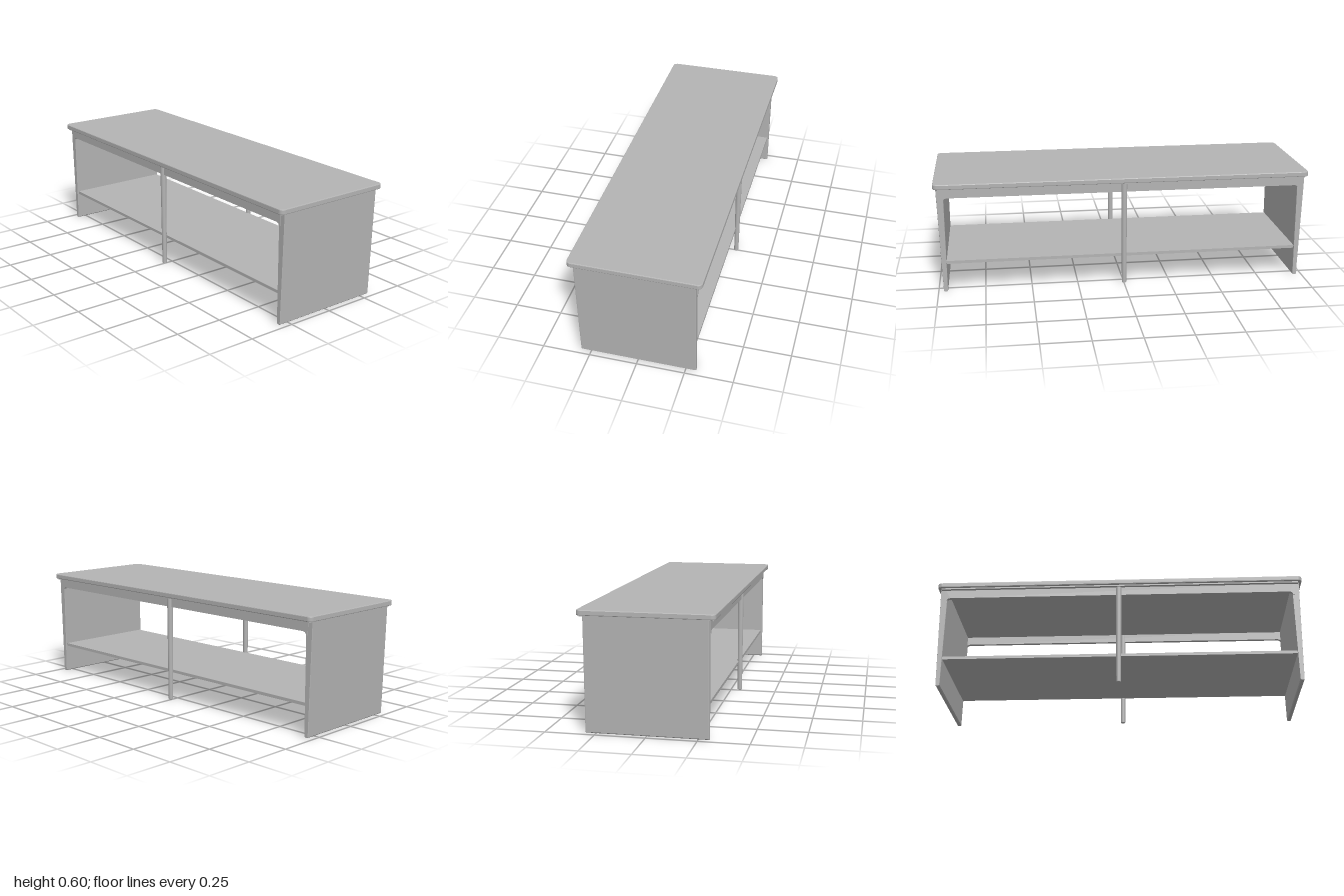
import * as THREE from 'three';

// Rectangle outline with rounded corners, centred on the origin
function roundedRect(w, d, r) {
  const s = new THREE.Shape(), x = w / 2, y = d / 2;
  s.moveTo(-x + r, -y);
  s.lineTo(x - r, -y);
  s.absarc(x - r, -y + r, r, -Math.PI / 2, 0);
  s.absarc(x - r, y - r, r, 0, Math.PI / 2);
  s.absarc(-x + r, y - r, r, Math.PI / 2, Math.PI);
  s.absarc(-x + r, -y + r, r, Math.PI, Math.PI * 1.5);
  return s;
}

export function createModel() {
  const group = new THREE.Group();
  const grey = new THREE.MeshStandardMaterial({ color: 0xb4b4b4 });
  grey.name = 'plain grey';

  const add = (name, geometry, x = 0, y = 0, z = 0) => {
    const mesh = new THREE.Mesh(geometry, grey);
    mesh.name = name;
    mesh.position.set(x, y, z);
    group.add(mesh);
    return mesh;
  };

  // Table top with a softened rim
  const slab = (w, d, r, h, bevel) => {
    const g = new THREE.ExtrudeGeometry(roundedRect(w - 2 * bevel, d - 2 * bevel, r), {
      depth: h - 2 * bevel, bevelThickness: bevel, bevelSize: bevel, bevelSegments: 2, curveSegments: 6,
    });
    g.rotateX(-Math.PI / 2);
    g.translate(0, bevel, 0);
    return g;
  };
  add('tableTop', slab(2, 0.67, 0.02, 0.027, 0.004), 0, 0.575, 0);
  add('topUnderlay', new THREE.BoxGeometry(1.96, 0.008, 0.646), 0, 0.572, 0);

  // Lower shelf between the side panels
  add('shelf', new THREE.BoxGeometry(1.91, 0.016, 0.59), 0, 0.163, 0);

  // Side panels, leaning slightly outward towards the top
  for (const side of [1, -1]) {
    const profile = new THREE.Shape([
      [0.951, 0.004], [0.955, 0], [0.967, 0], [0.971, 0.004], [0.985, 0.575], [0.948, 0.575],
    ].map(([x, y]) => new THREE.Vector2(x * side, y)));
    const panel = new THREE.ExtrudeGeometry(profile, {
      depth: 0.6, bevelThickness: 0.003, bevelSize: 0.001, bevelSegments: 1,
    });
    add(side > 0 ? 'leftPanel' : 'rightPanel', panel, 0, 0, -0.3);
  }

  // Front and back aprons with rounded inner corners, and the middle legs
  const apron = new THREE.Shape();
  apron.moveTo(-0.96, 0.575);
  apron.lineTo(-0.96, 0.505);
  apron.lineTo(-0.95, 0.505);
  apron.quadraticCurveTo(-0.948, 0.52, -0.93, 0.521);
  apron.lineTo(0.93, 0.521);
  apron.quadraticCurveTo(0.948, 0.52, 0.95, 0.505);
  apron.lineTo(0.96, 0.505);
  apron.lineTo(0.96, 0.575);
  for (const side of [1, -1]) {
    const end = side > 0 ? 'front' : 'back';
    const g = new THREE.ExtrudeGeometry(apron, { depth: 0.018, bevelEnabled: false, curveSegments: 6 });
    add(end + 'Apron', g, 0, 0, side * 0.297 - 0.009);

    const leg = new THREE.LatheGeometry([
      [0, 0.003], [0.01, 0.003], [0.0125, 0.006], [0.0155, 0.5], [0.0165, 0.575],
    ].map(([r, y]) => new THREE.Vector2(r, y)), 20);
    add(end + 'MiddleLeg', leg, 0, 0, side * 0.301);
  }
  return group;
}
